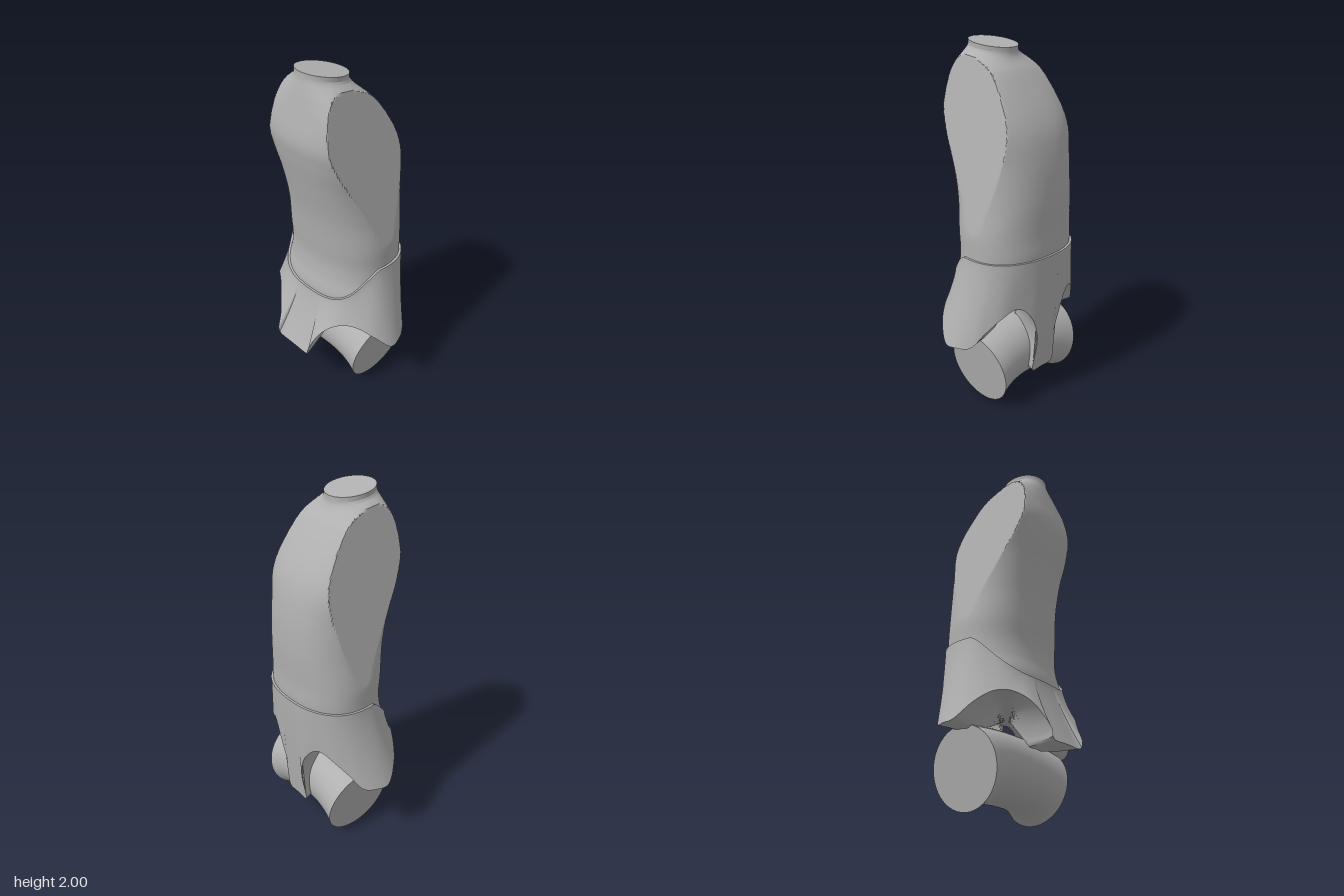
import * as THREE from 'three';
import { toCreasedNormals } from 'three/addons/utils/BufferGeometryUtils.js';

const clay = new THREE.MeshStandardMaterial({ color: 0xb0b0b0 });
clay.name = 'grey clay';

// Joins closed rings of points into a skin and closes the requested ends
function loft(rings, capStart, capEnd, crease) {
  const n = rings[0].length, pos = [], idx = [];
  rings.forEach(r => r.forEach(p => pos.push(p.x, p.y, p.z)));
  for (let i = 0; i < rings.length - 1; i++) {
    for (let j = 0; j < n; j++) {
      const k = (j + 1) % n, a = i * n, b = a + n;
      idx.push(a + j, a + k, b + k, a + j, b + k, b + j);
    }
  }
  const cap = (row, flip) => {
    const c = new THREE.Vector3();
    rings[row].forEach(p => c.addScaledVector(p, 1 / n));
    const centre = pos.length / 3;
    pos.push(c.x, c.y, c.z);
    for (let j = 0; j < n; j++) {
      const p = row * n + j, q = row * n + (j + 1) % n;
      idx.push(centre, flip ? q : p, flip ? p : q);
    }
  };
  if (capStart) cap(0, true);
  if (capEnd) cap(rings.length - 1, false);
  const g = new THREE.BufferGeometry();
  g.setAttribute('position', new THREE.Float32BufferAttribute(pos, 3));
  g.setIndex(idx);
  return toCreasedNormals(g, crease);
}

// Torso profile: height, back x, chest x, half width, squareness
const profile = [
  [0.62, -0.19, 0.24, 0.30, 2.3],
  [0.68, -0.20, 0.27, 0.345, 2.3],
  [0.80, -0.178, 0.315, 0.335, 2.3],
  [0.885, -0.17, 0.33, 0.333, 2.3],
  [1.00, -0.178, 0.33, 0.333, 2.3],
  [1.20, -0.20, 0.335, 0.315, 2.35],
  [1.40, -0.24, 0.32, 0.32, 2.4],
  [1.55, -0.272, 0.287, 0.355, 2.4],
  [1.65, -0.285, 0.24, 0.37, 2.4],
  [1.80, -0.26, 0.14, 0.33, 2.4],
  [1.88, -0.242, 0.08, 0.23, 2.3],
  [1.92, -0.23, 0.055, 0.17, 2.1],
  [1.945, -0.224, 0.044, 0.137, 2],
  [1.978, -0.222, 0.042, 0.134, 2],
];
const spline = new THREE.CubicInterpolant(
  profile.map(r => r[0]), profile.flatMap(r => r.slice(1)), 4, new Float32Array(4));

// Point of the torso section at height y and angle a, grown by an offset
function section(y, a, grow = 0) {
  const [x0, x1, w, n] = spline.evaluate(y);
  const c = Math.cos(a), s = Math.sin(a);
  const k = Math.pow(Math.abs(c) ** n + Math.abs(s) ** n, -1 / n);
  return new THREE.Vector3(
    (x0 + x1) / 2 + ((x1 - x0) / 2 + grow) * c * k, y, (w + grow) * s * k);
}

// Torso with a tilted neck and flat slanted shoulder faces
function torso() {
  const rings = [], rows = 110, n = 180;
  for (let i = 0; i <= rows; i++) {
    const y = THREE.MathUtils.lerp(1.978, 0.62, i / rows);
    const tilt = 0.17 * THREE.MathUtils.smoothstep(y, 1.84, 1.95);
    rings.push(Array.from({ length: n }, (_, j) => {
      const p = section(y, j / n * Math.PI * 2);
      p.y -= tilt * (p.x + 0.09);
      const limit = 0.335 - (p.y - 1) * 0.179;
      p.z = THREE.MathUtils.clamp(p.z, -limit, limit);
      return p;
    }));
  }
  return loft(rings, true, true, 0.4);
}

// Flared skirt with front and back tabs and four leg arches
function skirt() {
  const half = new THREE.CatmullRomCurve3([
    [0.29, 0.18, 0], [0.29, 0.18, 0.075], [0.295, 0.21, 0.085], [0.313, 0.38, 0.07],
    [0.32, 0.52, 0.11], [0.305, 0.6, 0.17], [0.287, 0.62, 0.22], [0.255, 0.58, 0.29],
    [0.2, 0.5, 0.36], [0.14, 0.41, 0.425], [0.07, 0.4, 0.46], [0, 0.4, 0.47],
    [-0.09, 0.49, 0.415], [-0.15, 0.55, 0.34], [-0.2, 0.56, 0.27], [-0.26, 0.52, 0.2],
    [-0.31, 0.44, 0.15], [-0.348, 0.36, 0.13], [-0.343, 0.325, 0.12], [-0.343, 0.32, 0],
  ].map(p => new THREE.Vector3(...p))).getSpacedPoints(130);
  const mirrored = half.slice(1, -1).reverse().map(p => new THREE.Vector3(p.x, p.y, -p.z));
  const hem = [...half, ...mirrored];
  // The upper seam dips towards the back
  const seam = grow => hem.map(p => {
    const a = Math.atan2(p.z / 0.4, (p.x - 0.04) / 0.3);
    const dip = THREE.MathUtils.smoothstep(-Math.cos(a), 0.2, 1);
    return section(0.885 - 0.205 * dip, a, grow);
  });
  const top = seam(0.013), rings = [seam(-0.01), top], steps = 24;
  for (let i = 1; i <= steps; i++) {
    const t = i / steps, e = Math.pow(t, 1.3);
    rings.push(hem.map((p, j) => new THREE.Vector3(
      THREE.MathUtils.lerp(top[j].x, p.x, e),
      THREE.MathUtils.lerp(top[j].y, p.y, t),
      THREE.MathUtils.lerp(top[j].z, p.z, e))));
  }
  // Underside running in to the hips
  for (const [scale, rise] of [[0.75, 0], [0.5, 0.05], [0.1, 1]]) {
    rings.push(hem.map(p => new THREE.Vector3(
      0.05 + (p.x - 0.05) * scale, p.y + (0.5 - p.y) * rise, p.z * scale)));
  }
  return loft(rings, false, true, 0.6);
}

// Hip spool: waisted in the middle, with two slanted flat ends
function hips() {
  const rings = [], rows = 40, n = 72;
  for (let i = 0; i <= rows; i++) {
    const s = -1 + 2 * i / rows, mid = 1 - s * s;
    const low = 0.065 * (1 - Math.abs(s) ** 3), high = 0.42 + 0.03 * mid;
    rings.push(Array.from({ length: n }, (_, j) => {
      const b = j / n * Math.PI * 2;
      const y = (low + high) / 2 + (high - low) / 2 * Math.sin(b);
      return new THREE.Vector3(
        0.075 + (0.21 - 0.03 * mid) * Math.cos(b), y, s * (0.26 + 0.167 * y));
    }));
  }
  return loft(rings, true, true, 0.6);
}

export function createModel() {
  const group = new THREE.Group();
  group.name = 'torsoFigure';
  for (const [name, geometry] of [['torso', torso()], ['skirt', skirt()], ['hips', hips()]]) {
    const mesh = new THREE.Mesh(geometry, clay);
    mesh.name = name;
    group.add(mesh);
  }
  return group;
}
